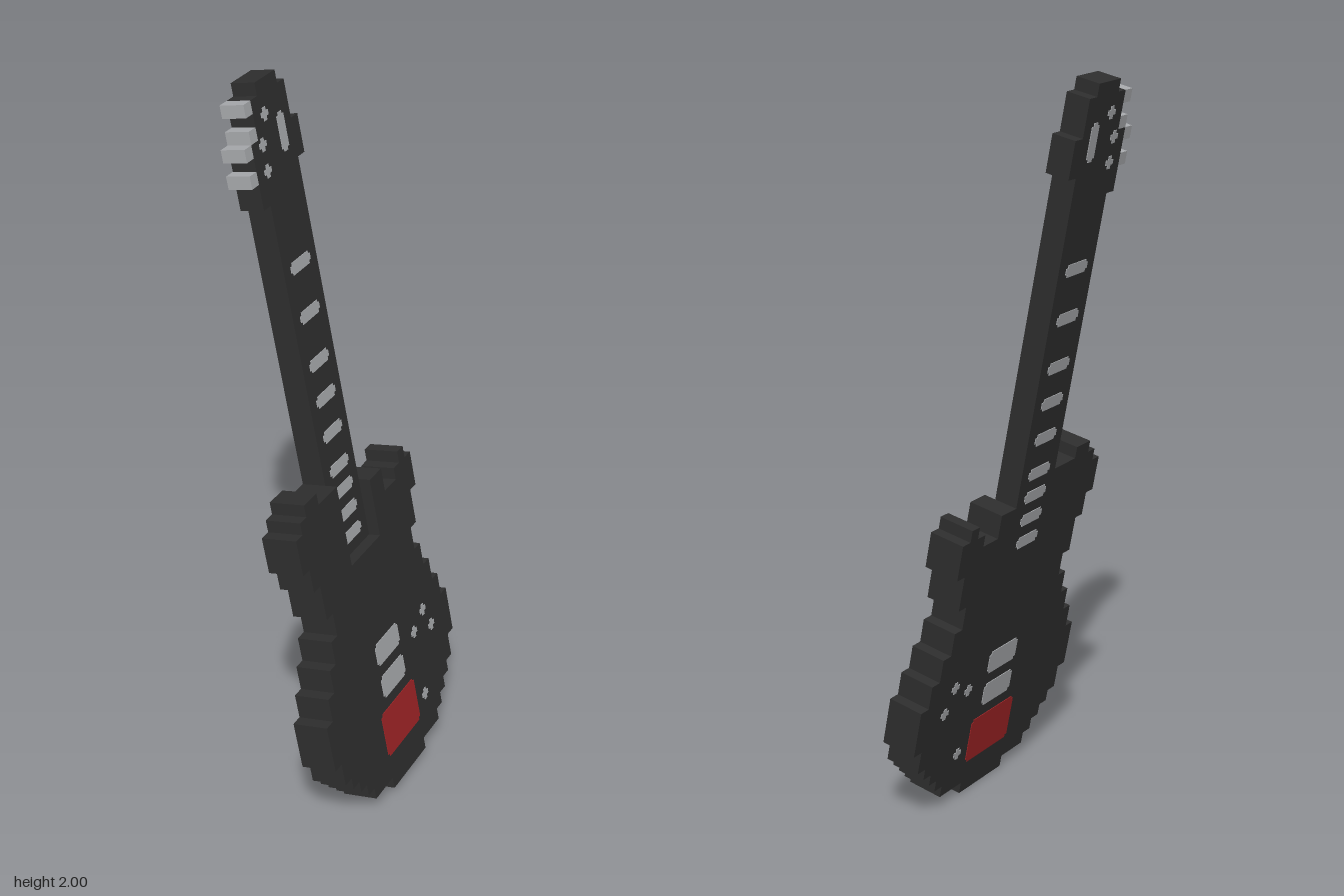
import * as THREE from 'three';

const V = 0.03375; // size of one block

const black = new THREE.MeshStandardMaterial({ color: 0x2e2e2e });
black.name = 'black finish';
const silver = new THREE.MeshStandardMaterial({ color: 0xa8aaad });
silver.name = 'silver';
const red = new THREE.MeshStandardMaterial({ color: 0xa02426 });
red.name = 'red';

// Slab cut from a block outline: x = thickness, y = length, z = width
function slab(name, points, depth, material, offset = 0) {
  const shape = new THREE.Shape(points.map(([z, s]) => new THREE.Vector2(-z * V, s * V)));
  const geometry = new THREE.ExtrudeGeometry(shape, { depth, bevelEnabled: false });
  geometry.rotateY(Math.PI / 2);
  geometry.translate(offset, 0, 0);
  const mesh = new THREE.Mesh(geometry, material);
  mesh.name = name;
  return mesh;
}

// Stepped outline: each entry moves across to z, then along to s
function stairs(start, steps) {
  const points = [start];
  let s0 = start[1];
  for (const [z, s] of steps) {
    points.push([z, s0], [z, s]);
    s0 = s;
  }
  points.pop(); // the last corner closes on the start
  return points;
}

const rect = (z0, z1, s0, s1) => [[z0, s0], [z1, s0], [z1, s1], [z0, s1]];

// Rectangle with small square notches at its corners
function notched(z0, z1, s0, s1, n) {
  return [
    [z0 + n, s0], [z1 - n, s0], [z1 - n, s0 + n], [z1, s0 + n],
    [z1, s1 - n], [z1 - n, s1 - n], [z1 - n, s1], [z0 + n, s1],
    [z0 + n, s1 - n], [z0, s1 - n], [z0, s0 + n], [z0 + n, s0 + n],
  ];
}

export function createModel() {
  const model = new THREE.Group();
  model.name = 'electricGuitar';
  const guitar = new THREE.Group();
  guitar.name = 'leaningGuitar';
  guitar.rotation.z = THREE.MathUtils.degToRad(11.1);
  guitar.position.x = 0.146;
  model.add(guitar);

  // Thin matching plates on the front and back faces
  const inlaid = (name, points, thickness, material) => {
    for (const [side, t] of [['Front', thickness * V], ['Back', 0]]) {
      guitar.add(slab(name + side, points, 0.004, material, t - 0.002));
    }
  };

  // Body with two horns and a slot for the neck
  const lower = [[10, 5], [11, 7]];
  guitar.add(slab('body', stairs([-3, 0], [
    [3, 1], [6, 2], [7, 3], [8, 4], [9, 5], [10, 7], [11, 11],
    [10, 13], [9, 15], [8, 17], [7, 19], [8, 22], [9, 24], [10, 27],
    [9, 28], [8, 29], [6, 28], [3, 21],
    [-2, 26], [-4, 24], [-6, 25], [-7, 26], [-8, 25], [-9, 22],
    [-8, 19], [-7, 17], [-8, 15], [-9, 13], [-10, 11],
    ...lower.reverse().map(([z, s]) => [-z, s]),
    [-9, 4], [-8, 3], [-7, 2], [-6, 1], [-3, 0],
  ]), 3 * V, black));

  // Neck and headstock
  guitar.add(slab('neck', rect(-2, 3, 21, 51), 2 * V, black));
  guitar.add(slab('headstock', stairs([-2, 51], [
    [4, 56], [3, 59], [2, 60], [-1, 59], [-2, 56], [-3, 53], [-2, 51],
  ]), 2 * V, black));

  // Tuning pegs on the left edge of the headstock
  for (const [z, s] of [[3, 58], [3, 56], [4, 55], [4, 53]]) {
    guitar.add(slab('tuningPeg', rect(z, z + 1, s, s + 1), 2 * V, silver));
  }

  // Tuner posts and headstock plate
  for (const [z, s] of [[1, 57], [2, 55], [2, 53]]) {
    inlaid('tunerPost', notched(z, z + 1, s, s + 1, 0.3), 2, silver);
  }
  inlaid('headstockPlate', notched(-1, 0, 54, 57, 0.25), 2, silver);

  // Fret markers
  for (const s of [22, 24, 26, 28, 31, 34, 37, 41, 45]) {
    inlaid('fretMarker', notched(-1, 2, s, s + 1, 0.25), 2, silver);
  }

  // Pickups, bridge and control knobs
  for (const s of [8, 11]) {
    inlaid('pickup', notched(-2, 2, s, s + 2, 0.25), 3, silver);
  }
  inlaid('bridge', notched(-3, 3, 3, 7, 0.25), 3, red);
  for (const [z, s] of [[-5, 10], [-7, 11], [-8, 9], [-5, 4]]) {
    inlaid('knob', notched(z, z + 1, s, s + 1, 0.3), 3, silver);
  }

  return model;
}
